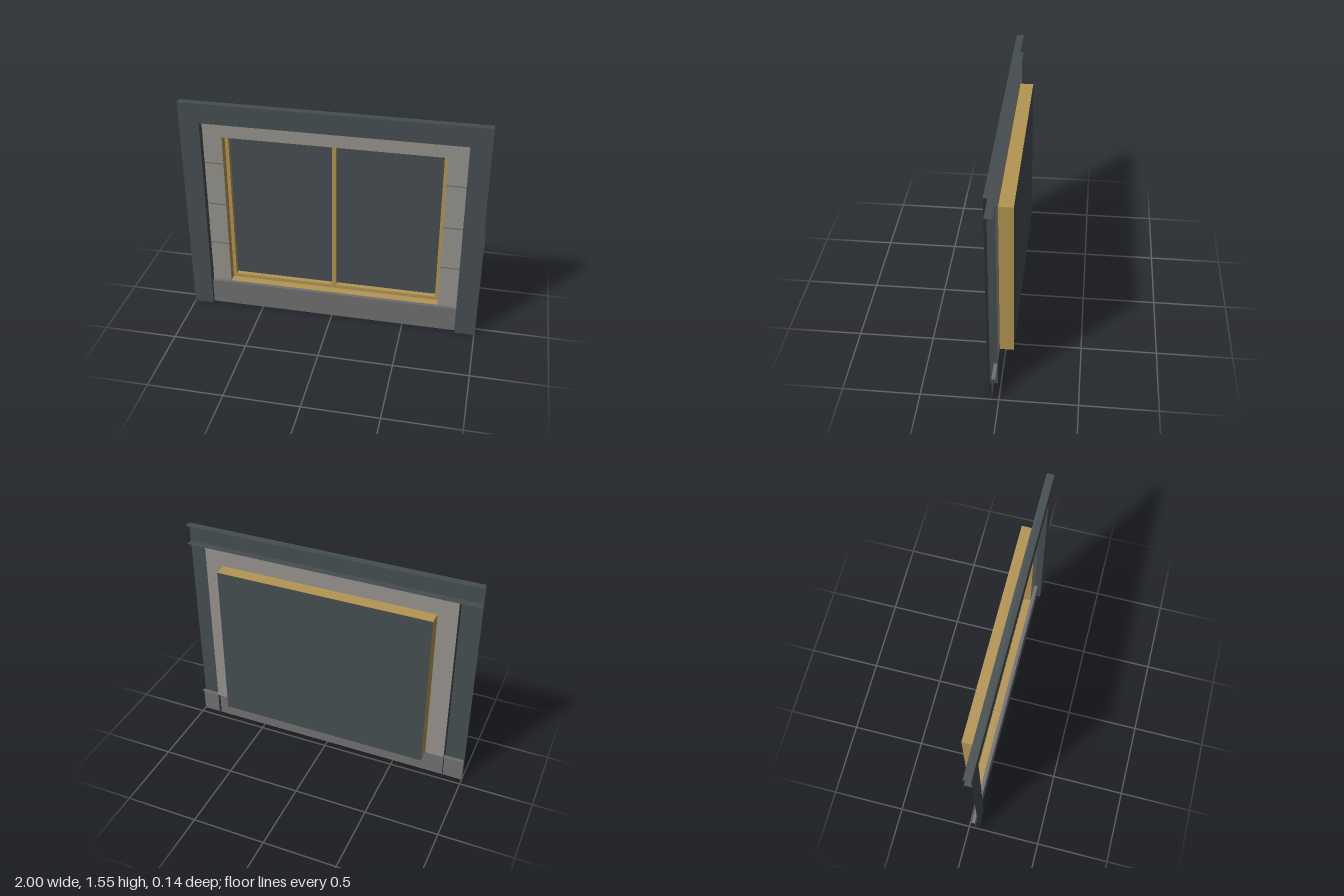
import * as THREE from 'three';

const mat = (name, color) => {
  const m = new THREE.MeshStandardMaterial({ color, side: THREE.DoubleSide });
  m.name = name;
  return m;
};

export function createModel() {
  const slate = mat('slate', 0x454d50);
  const stone = mat('stone', 0x95928b);
  const plinthGrey = mat('plinth grey', 0x706f6f);
  const wood = mat('wood', 0xb39453);

  // Key dimensions
  const W = 1, H = 1.55, innerX = 0.865, headY = 1.415, baseY = 0.18;
  const winX = 0.735, winTop = 1.305, glassX = 0.71, glassLow = 0.207, glassTop = 1.277;
  const zFront = 0.07, zBase = 0.045, zWall = 0.02, zSash = -0.034, zBack = -0.07;

  const group = new THREE.Group();
  const add = (name, geometry, material, x = 0, y = 0, z = 0) => {
    const mesh = new THREE.Mesh(geometry, material);
    mesh.name = name;
    mesh.position.set(x, y, z);
    group.add(mesh);
    return mesh;
  };
  const outline = (pts) => pts.map(([x, y]) => new THREE.Vector2(x, y));
  const rect = (x0, x1, y0, y1) => outline([[x0, y0], [x1, y0], [x1, y1], [x0, y1]]);
  const shape = (pts, ...holes) => {
    const s = new THREE.Shape(pts);
    holes.forEach((h) => s.holes.push(new THREE.Path(h)));
    return s;
  };

  // Sheets facing up/down, and sheets facing sideways
  const level = (name, material, width, y, z0, z1) =>
    add(name, new THREE.PlaneGeometry(width, z1 - z0).rotateX(-Math.PI / 2), material, 0, y, (z0 + z1) / 2);
  const upright = (name, material, x, y0, y1, z0, z1) =>
    add(name, new THREE.PlaneGeometry(z1 - z0, y1 - y0).rotateY(Math.sign(x) * Math.PI / 2),
      material, x, (y0 + y1) / 2, (z0 + z1) / 2);

  // Outer surround: posts and header in one sheet, with folded returns
  add('surroundFace', new THREE.ShapeGeometry(shape(outline([
    [-W, 0], [-innerX, 0], [-innerX, headY], [innerX, headY],
    [innerX, 0], [W, 0], [W, H], [-W, H],
  ]))), slate, 0, 0, zFront);
  level('headerTop', slate, 2 * W, H, zWall, zFront);
  level('headerUnderside', slate, 2 * W, headY, zWall, zFront);

  // Plinth with its ledge
  add('plinthFace', new THREE.PlaneGeometry(2 * W, baseY), plinthGrey, 0, baseY / 2, zBase);
  level('plinthLedge', plinthGrey, 2 * W, baseY, zWall, zBase);

  // Stone wall around the window opening
  add('stoneWall', new THREE.ShapeGeometry(shape(
    rect(-innerX, innerX, baseY, headY), rect(-winX, winX, baseY, winTop),
  )), stone, 0, 0, zWall);

  for (const s of [-1, 1]) {
    upright('postReturn', slate, s * innerX, 0, headY, zWall, zFront);
    upright('windowBoxSide', wood, s * winX, baseY, winTop, zBack, zWall);
    // Joints between the stone blocks
    for (const y of [0.49, 0.8, 1.11]) {
      add('stoneJoint', new THREE.PlaneGeometry(innerX - winX, 0.008), plinthGrey,
        s * (innerX + winX) / 2, y, zWall + 0.001);
    }
  }

  // Window box top and sill
  level('windowBoxTop', wood, 2 * winX, winTop, zBack, zWall);
  level('windowSill', wood, 2 * winX, baseY, zBack, zWall);

  // Sash with a central mullion, set back in the box
  const bar = 0.014;
  add('sash', new THREE.ExtrudeGeometry(shape(
    rect(-winX + 0.001, winX - 0.001, baseY + 0.001, winTop - 0.001),
    rect(-glassX, -bar, glassLow, glassTop),
    rect(bar, glassX, glassLow, glassTop),
  ), { depth: zSash - zBack - 0.002, bevelEnabled: false }), wood, 0, 0, zBack + 0.002);

  // Dark pane closing the back of the box
  add('windowPane', new THREE.PlaneGeometry(2 * winX, winTop - baseY), slate,
    0, (baseY + winTop) / 2, zBack);

  return group;
}
